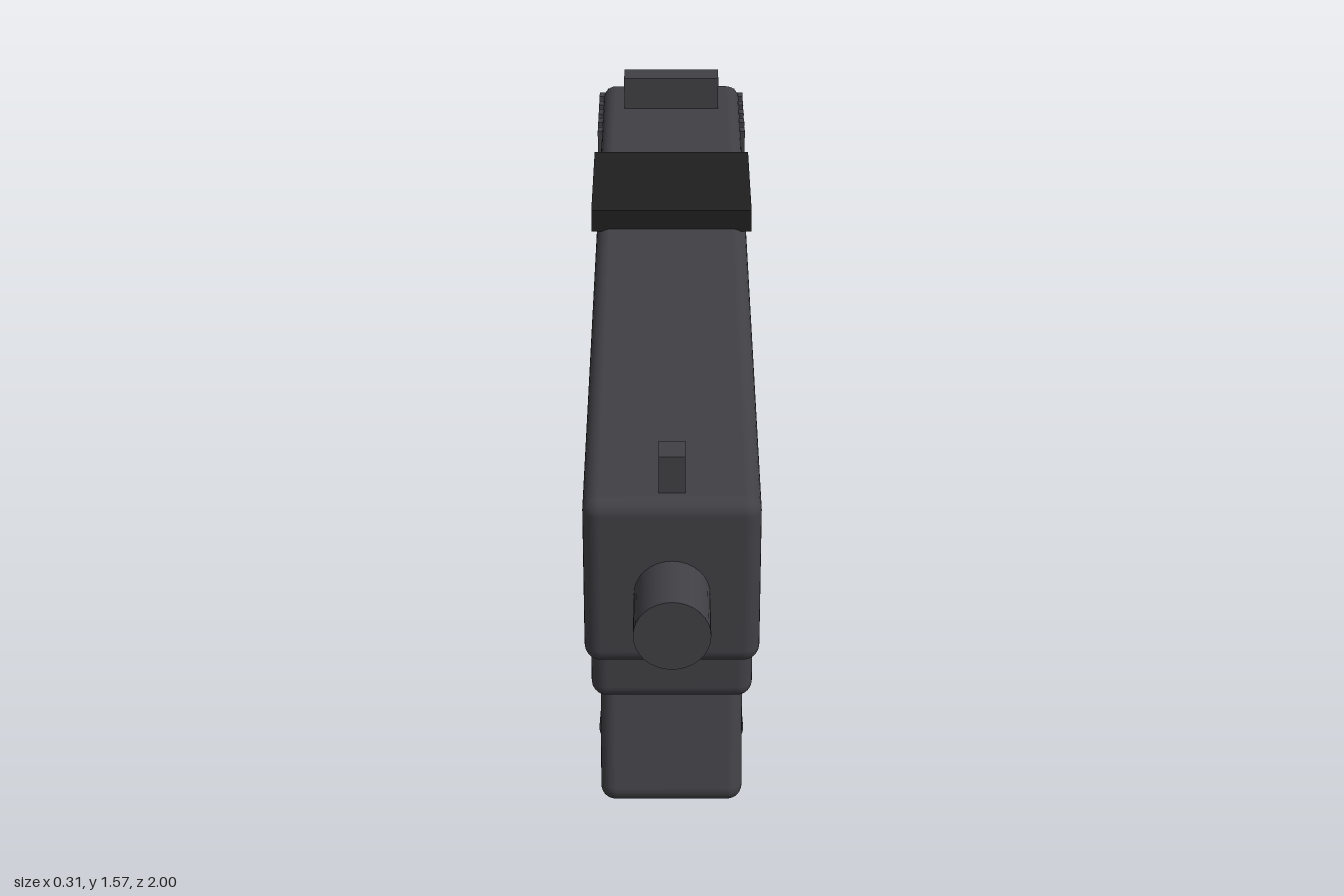
import * as THREE from 'three';
import { RoundedBoxGeometry } from 'three/addons/geometries/RoundedBoxGeometry.js';

export function createModel() {
  const model = new THREE.Group();
  const gunmetal = new THREE.MeshStandardMaterial({ color: 0x404045 });
  gunmetal.name = 'gunmetal';
  const black = new THREE.MeshStandardMaterial({ color: 0x1f1f1f });
  black.name = 'black';

  const add = (name, geometry, y, z, tilt = 0, material = gunmetal) => {
    const mesh = new THREE.Mesh(geometry, material);
    mesh.name = name;
    mesh.position.set(0, y, z);
    mesh.rotation.x = tilt;
    model.add(mesh);
    return mesh;
  };
  const box = (x, y, z) => new THREE.BoxGeometry(x, y, z);
  const rounded = (x, y, z, r) => new RoundedBoxGeometry(x, y, z, 4, r);

  // Slide, back plate and frame
  add('slide', rounded(0.264, 0.28, 1.72, 0.025), 1.38, 0.02);
  add('backPlate', box(0.25, 0.24, 0.03), 1.38, -0.845);
  add('frame', rounded(0.264, 0.265, 1.36, 0.025), 1.11, -0.115);

  // Barrel end
  const barrel = new THREE.CylinderGeometry(0.057, 0.057, 0.2, 32).rotateX(Math.PI / 2);
  add('barrel', barrel, 1.365, 0.9);

  // Grip ribs wrapping the rear of the slide
  for (let i = 0; i < 5; i++) {
    add('slideRib', box(0.28, 0.236, 0.022), 1.385, -0.635 - i * 0.046);
  }

  // Sights and top plate
  add('frontSight', box(0.04, 0.07, 0.05), 1.545, 0.825);
  add('rearSight', box(0.18, 0.07, 0.05), 1.545, -0.725);
  add('topPlate', box(0.28, 0.04, 0.27), 1.535, -0.255, 0, black);

  // Slanted grip and magazine base
  const slant = -0.3;
  add('grip', rounded(0.286, 0.9, 0.455, 0.03), 0.553, -0.635, slant);
  add('magazineBase', rounded(0.308, 0.062, 0.4, 0.028), 0.092, -0.803, slant);

  // Oval trigger guard and trigger
  const ring = new THREE.TorusGeometry(0.22, 0.035, 16, 48).rotateY(Math.PI / 2);
  ring.scale(0.72, 0.84, 1);
  add('triggerGuard', ring, 0.88, -0.25);
  add('trigger', rounded(0.045, 0.25, 0.05, 0.01), 0.93, -0.283, 0.25);

  return model;
}
